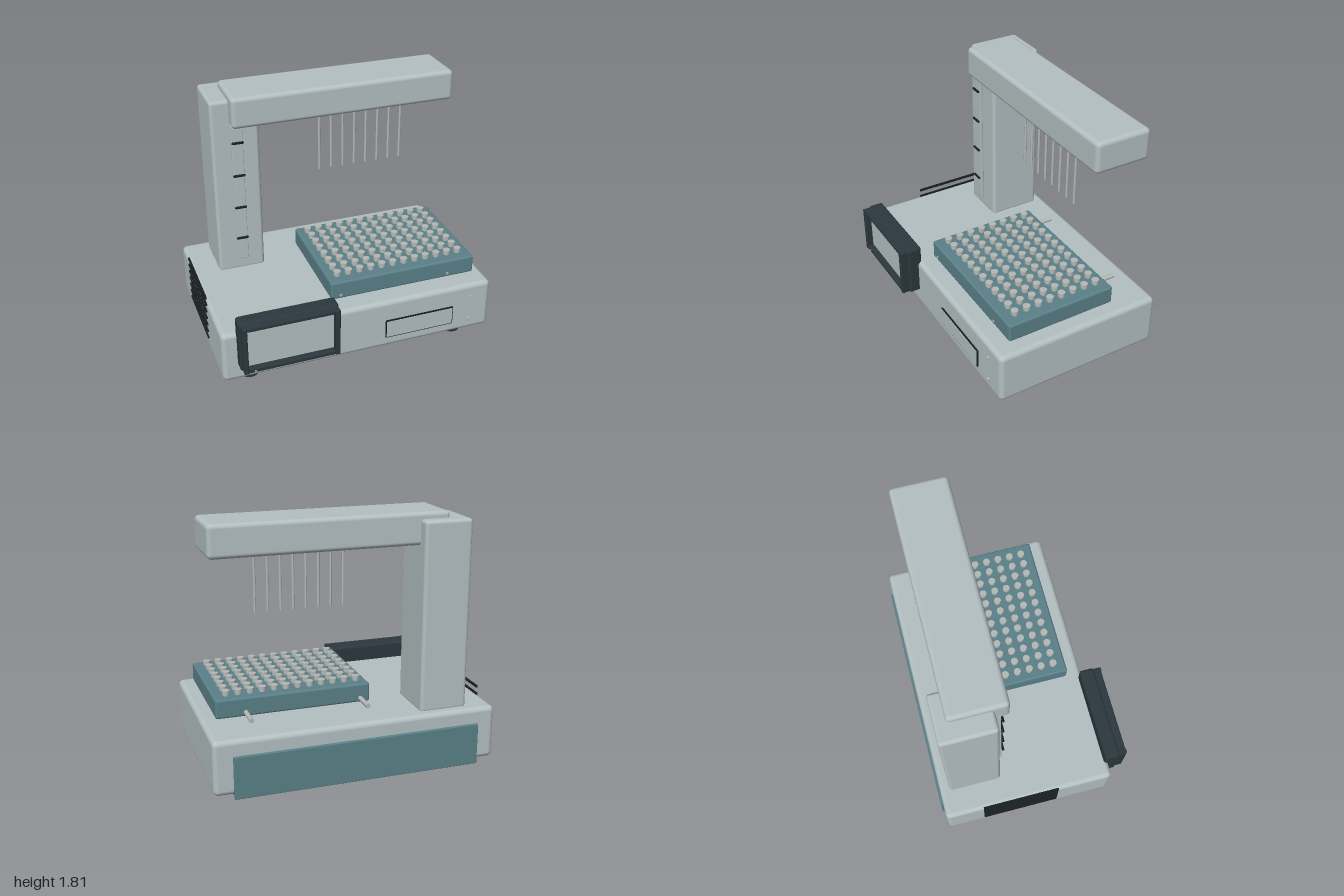
import * as THREE from 'three';
import { RoundedBoxGeometry } from 'three/addons/geometries/RoundedBoxGeometry.js';

const mat = (name, color) => {
  const m = new THREE.MeshStandardMaterial({ color });
  m.name = name;
  return m;
};

export function createModel() {
  const root = new THREE.Group();
  root.name = 'labInstrument';

  const shell = mat('paleGreyShell', 0xb4c0c2);
  const teal = mat('tealPanel', 0x5b8189);
  const dark = mat('darkSlate', 0x2b383e);
  const black = mat('nearBlack', 0x181e21);
  const metal = mat('brushedMetal', 0xb5b9b6);

  // Box given by its extents, rounded when r > 0
  const box = (name, m, [x0, x1], [y0, y1], [z0, z1], r = 0, parent = root) => {
    const s = [x1 - x0, y1 - y0, z1 - z0];
    const g = r ? new RoundedBoxGeometry(...s, 3, r) : new THREE.BoxGeometry(...s);
    const mesh = new THREE.Mesh(g, m);
    mesh.position.set((x0 + x1) / 2, (y0 + y1) / 2, (z0 + z1) / 2);
    mesh.name = name;
    parent.add(mesh);
    return mesh;
  };
  // Cylinder centred at p along the given axis
  const rod = (name, m, r, len, p, axis = 'y', parent = root, sides = 16) => {
    const mesh = new THREE.Mesh(new THREE.CylinderGeometry(r, r, len, sides), m);
    if (axis === 'x') mesh.rotation.z = Math.PI / 2;
    if (axis === 'z') mesh.rotation.x = Math.PI / 2;
    mesh.position.set(...p);
    mesh.name = name;
    parent.add(mesh);
    return mesh;
  };
  const group = (name) => {
    const g = new THREE.Group();
    g.name = name;
    root.add(g);
    return g;
  };

  // Base, rear panel and feet
  box('base', shell, [-0.99, 0.995], [0.075, 0.455], [-0.68, 0.56], 0.035);
  box('rearPanel', teal, [-0.86, 0.865], [0.05, 0.345], [-0.7, -0.675], 0.006);
  const feet = group('feet');
  for (const x of [-0.775, 0.775])
    for (const z of [-0.515, 0.41]) rod('foot', dark, 0.061, 0.085, [x, 0.0425, z], 'y', feet, 28);

  // Column and overhead arm
  box('column', shell, [-0.8, -0.462], [0.44, 1.765], [-0.61, -0.23], 0.025);
  box('arm', shell, [-0.672, 0.95], [1.59, 1.81], [-0.53, -0.13], 0.03);

  // Guide rail with tie clips
  box('guideRail', shell, [-0.672, -0.59], [0.55, 1.6], [-0.212, -0.19], 0.005);
  const clips = group('railClips');
  for (let i = 0; i < 4; i++) {
    const clip = new THREE.Mesh(new THREE.CapsuleGeometry(0.009, 0.07, 4, 10), black);
    clip.rotation.z = Math.PI / 2;
    clip.position.set(-0.631, 0.73 + i * 0.2475, -0.177);
    clip.name = 'railClip';
    clips.add(clip);
  }

  // Row of needles under the arm
  const needles = group('needles');
  for (let i = 0; i < 8; i++) rod('needle', metal, 0.0085, 0.45, [-0.027 + i * 0.0881, 1.38, -0.235], 'y', needles, 12);

  // Tray with a grid of capped vials
  box('tray', teal, [-0.18, 0.905], [0.48, 0.613], [-0.37, 0.442], 0.015);
  const vials = group('vials');
  for (let i = 0; i < 12; i++) {
    for (let j = 0; j < 8; j++) {
      const x = -0.105 + i * 0.0836, z = 0.35 - j * 0.0908;
      rod('vialCap', metal, 0.026, 0.026, [x, 0.637, z], 'y', vials, 18);
      rod('vialNeck', metal, 0.021, 0.02, [x, 0.618, z], 'y', vials, 12);
    }
  }
  for (const x of [-0.11, 0.7]) {
    rod('trayRod', metal, 0.016, 0.2, [x, 0.51, -0.43], 'z');
    rod('trayPin', metal, 0.01, 0.02, [x, 0.51, 0.436], 'z');
  }

  // Display: housing, bezel bars, screen and status light
  box('displayHousing', dark, [-0.887, -0.193], [0.197, 0.578], [0.53, 0.64], 0.02);
  const bezel = group('displayBezel');
  for (const x of [[-0.876, -0.843], [-0.235, -0.202]]) box('bezelSide', dark, x, [0.208, 0.57], [0.63, 0.695], 0.008, bezel);
  for (const y of [[0.21, 0.242], [0.54, 0.57]]) box('bezelBar', dark, [-0.845, -0.233], y, [0.63, 0.69], 0.008, bezel);
  box('screen', shell, [-0.848, -0.23], [0.236, 0.545], [0.638, 0.647]);
  rod('statusLight', metal, 0.006, 0.006, [-0.8, 0.225, 0.691], 'z');

  // Front drawer slot outlined in black, and screws
  box('slotFrame', black, [0.182, 0.7], [0.16, 0.302], [0.555, 0.571]);
  box('slotCover', shell, [0.188, 0.694], [0.167, 0.295], [0.565, 0.574]);
  const screws = group('screws');
  for (const x of [-0.832, 0.838])
    for (const y of [0.163, 0.353]) rod('screw', metal, 0.012, 0.02, [x, y, 0.563], 'z', screws);

  // Side vent slats
  const vents = group('ventSlats');
  for (let i = 0; i < 7; i++) {
    const y = 0.168 + i * 0.0553;
    box('ventSlat', black, [-1, -0.986], [y - 0.009, y + 0.009], [-0.405, 0.152], 0.004, vents);
  }

  return root;
}
